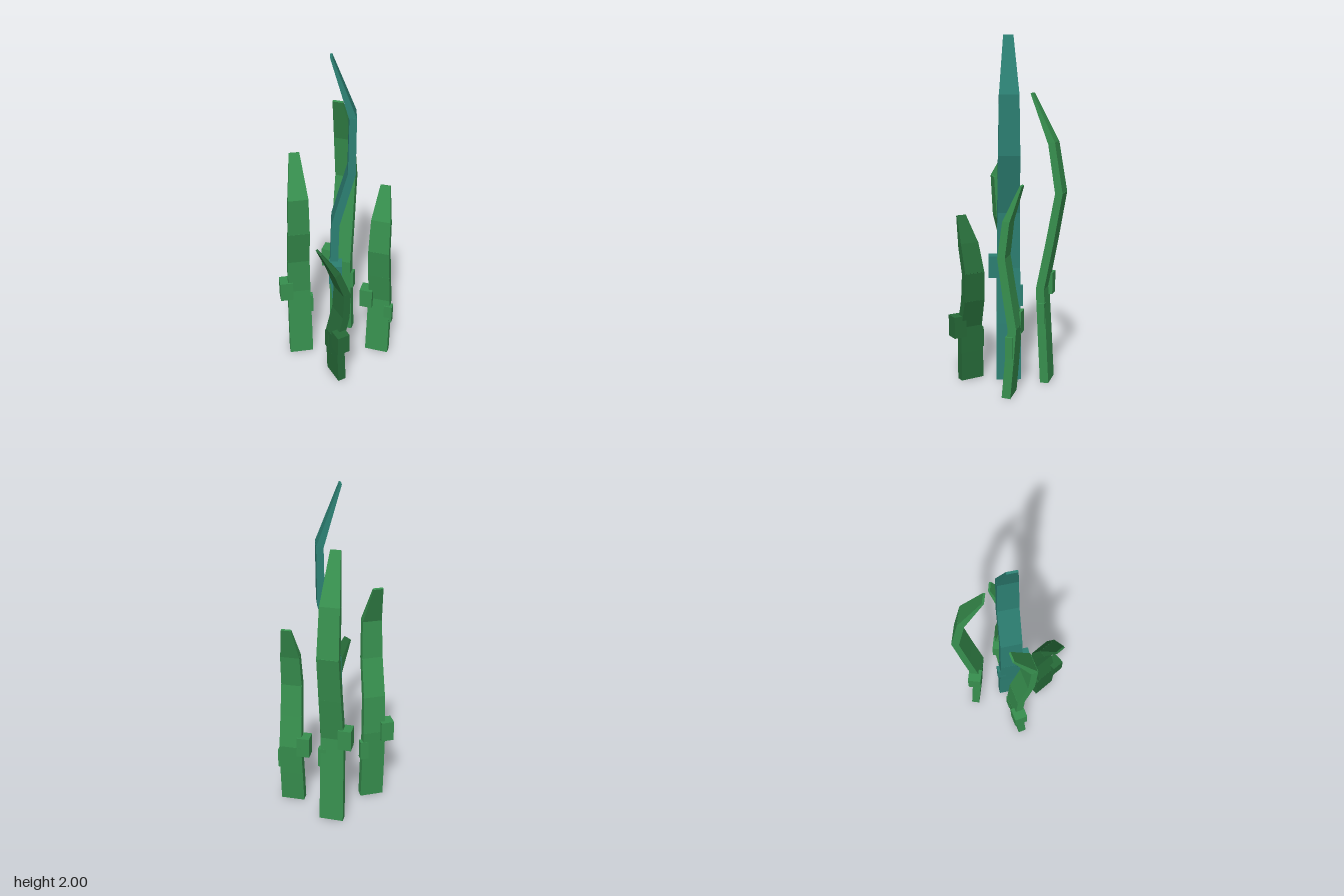
import * as THREE from 'three';

const mat = (name, color) => {
  const m = new THREE.MeshStandardMaterial({ color });
  m.name = name;
  return m;
};

// Width and thickness of a frond at each of its seven joints
const WIDTH = [0.145, 0.142, 0.136, 0.13, 0.125, 0.114, 0.058];
const THICK = [0.05, 0.05, 0.048, 0.046, 0.043, 0.04, 0.012];

// Box running from y = 0 to y = len, with a different size at each end
function taperedBox(w0, t0, w1, t1, len) {
  const g = new THREE.BoxGeometry(1, len, 1).translate(0, len / 2, 0).toNonIndexed();
  const p = g.attributes.position;
  for (let i = 0; i < p.count; i++) {
    const top = p.getY(i) > len / 2;
    p.setX(i, p.getX(i) * (top ? w1 : w0));
    p.setZ(i, p.getZ(i) * (top ? t1 : t0));
  }
  g.computeVertexNormals();
  return g;
}

// Six straight segments bending only across the flat face, plus two side buds
function frond({ name, x, z, turn, height, bend, side, budBend, material }) {
  const group = new THREE.Group();
  group.name = name;
  group.position.set(x, 0, z);
  group.rotation.y = THREE.MathUtils.degToRad(turn);

  const step = height / 6;
  for (let i = 0; i < 6; i++) {
    const dn = bend[i + 1] - bend[i];
    const overlap = i < 5 ? 0.006 : 0;
    const len = Math.hypot(dn, step) + overlap;
    const seg = new THREE.Mesh(
      taperedBox(WIDTH[i], THICK[i], WIDTH[i + 1], THICK[i + 1], len), material);
    seg.name = i < 5 ? 'frondSegment' : 'frondTip';
    seg.position.set(0, i * step, bend[i]);
    seg.rotation.x = Math.atan2(dn, step);
    group.add(seg);
  }

  // Large bud on one edge, a small one lower on the other
  const bud = new THREE.Mesh(new THREE.BoxGeometry(0.078, 0.127, 0.078), material);
  bud.name = 'largeBud';
  bud.position.set(side * 0.078, height * 0.34, budBend);
  const small = new THREE.Mesh(new THREE.BoxGeometry(0.05, 0.12, 0.04), material);
  small.name = 'smallBud';
  small.position.set(-side * 0.06, height * 0.25, budBend);
  group.add(bud, small);
  return group;
}

export function createModel() {
  const teal = mat('teal', 0x2c7f72);
  const green = mat('green', 0x378f4e);
  const dark = mat('darkGreen', 0x266a38);

  const model = new THREE.Group();
  model.name = 'seaweed';
  const fronds = [
    { name: 'centreFrond', x: 0, z: 0.02, turn: 39.3, height: 2, side: -1, budBend: -0.03,
      bend: [0, -0.015, -0.04, -0.03, 0.06, 0.064, -0.05], material: teal },
    { name: 'backLeftFrond', x: 0.185, z: -0.112, turn: 111, height: 1.68, side: 1, budBend: -0.02,
      bend: [0, -0.015, -0.03, 0.025, 0.075, 0.03, -0.095], material: green },
    { name: 'backRightFrond', x: -0.165, z: -0.167, turn: -41.3, height: 1.415, side: -1, budBend: -0.033,
      bend: [0, -0.015, -0.03, -0.015, 0.045, 0.06, -0.055], material: green },
    { name: 'frontLeftFrond', x: 0.145, z: 0.208, turn: 112.4, height: 1.19, side: 1, budBend: 0.018,
      bend: [0, 0.017, 0.033, 0, -0.03, -0.005, 0.072], material: green },
    { name: 'frontRightFrond', x: -0.19, z: 0.142, turn: 67.6, height: 0.965, side: -1, budBend: -0.014,
      bend: [0, -0.005, -0.01, 0.03, 0.038, -0.02, -0.11], material: dark },
  ];
  for (const f of fronds) model.add(frond(f));
  return model;
}
